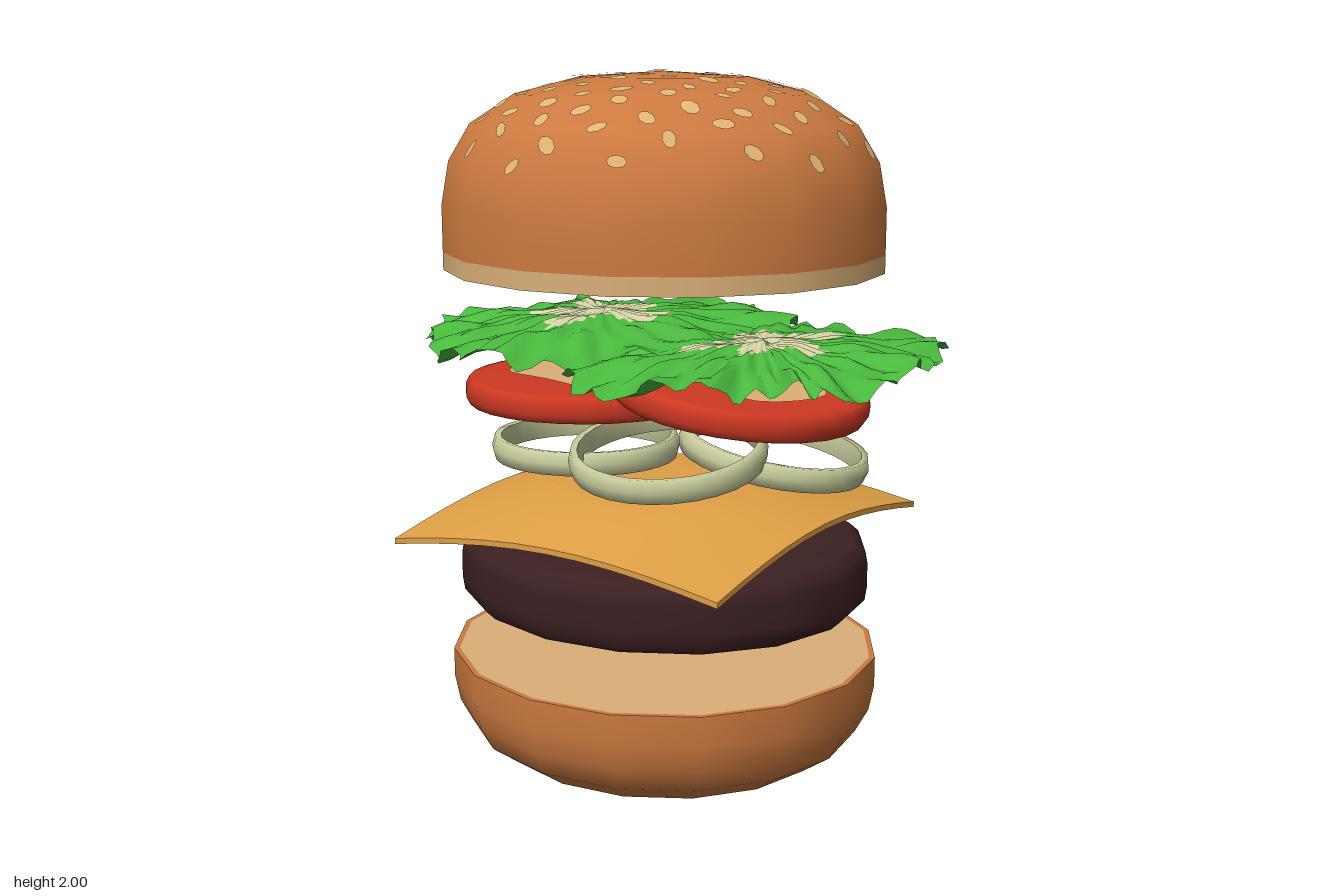
import * as THREE from 'three';
import { mergeGeometries } from 'three/addons/utils/BufferGeometryUtils.js';

const mat = (name, color, side = THREE.FrontSide) => {
  const m = new THREE.MeshStandardMaterial({ color, side });
  m.name = name;
  return m;
};

export function createModel() {
  const crust = mat('crust', 0xcc7a40);
  const crumb = mat('crumb', 0xdab078);
  const seedColor = mat('seed', 0xdfb273);
  const meat = mat('patty', 0x3c2022);
  const cheddar = mat('cheese', 0xdf9f45);
  const onion = mat('onion', 0xcbcf9e);
  const tomatoRed = mat('tomato', 0xcc3822);
  const leafGreen = mat('leafGreen', 0x4aba3e, THREE.DoubleSide);
  const leafPale = mat('leafPale', 0xd6d6a6, THREE.DoubleSide);

  const model = new THREE.Group();
  model.name = 'explodedBurger';
  let seed = 7;
  const rand = () => (seed = (seed * 16807) % 2147483647) / 2147483647;

  const add = (parent, name, geometry, material) => {
    const mesh = new THREE.Mesh(geometry, material);
    mesh.name = name;
    parent.add(mesh);
    return mesh;
  };
  const group = (name, x = 0, y = 0, z = 0) => {
    const g = new THREE.Group();
    g.name = name;
    g.position.set(x, y, z);
    model.add(g);
    return g;
  };
  // profile is [radius, height] pairs, outside surface running bottom to top
  const lathe = (profile, sides) =>
    new THREE.LatheGeometry(profile.map(([r, y]) => new THREE.Vector2(r, y)), sides);

  // Buns: 16 sided and slightly oval
  const SIDES = 16, OVAL = 0.963, CX = -0.037;
  const bottomBun = group('bottomBun', CX);
  bottomBun.scale.z = OVAL;
  add(bottomBun, 'bottomCrust', lathe([[0, 0.005], [0.2, 0.01], [0.37, 0.028], [0.49, 0.065],
    [0.575, 0.125], [0.613, 0.195], [0.628, 0.27], [0.628, 0.355]], SIDES), crust);
  add(bottomBun, 'bottomRim', lathe([[0.628, 0.355], [0.612, 0.355]], SIDES), crust);
  add(bottomBun, 'bottomCrumb', lathe([[0.612, 0.355], [0, 0.355]], SIDES), crumb);

  const dome = [[0.628, 1.51], [0.628, 1.64], [0.606, 1.76], [0.545, 1.86],
    [0.42, 1.94], [0.24, 1.985], [0, 2.0]];
  const topBun = group('topBun', CX);
  topBun.scale.z = OVAL;
  add(topBun, 'topCrust', lathe(dome, SIDES), crust);
  add(topBun, 'topCrumbEdge', lathe([[0.628, 1.46], [0.628, 1.51]], SIDES), crumb);
  add(topBun, 'topCrumb', lathe([[0, 1.46], [0.628, 1.46]], SIDES), crumb);

  // Sesame seeds: thin ovals lying on the dome's facets
  const onDome = (a, r) => {
    let i = 1;
    while (i < dome.length - 2 && dome[i + 1][0] > r) i++;
    const [r0, y0] = dome[i], [r1, y1] = dome[i + 1];
    const step = (Math.PI * 2) / SIDES;
    const local = (((a % step) + step) % step) - step / 2;
    const k = r * Math.cos(step / 2) / Math.cos(local);
    return new THREE.Vector3(k * Math.sin(a), y0 + ((y1 - y0) * (r0 - r)) / (r0 - r1), k * Math.cos(a));
  };
  const seeds = [];
  const COUNT = 125;
  for (let i = 0; i < COUNT; i++) {
    const r = 0.605 * Math.sqrt((i + 0.3 + rand() * 0.6) / COUNT);
    const a = i * 2.39996 + (rand() - 0.5) * 0.1;
    const p = onDome(a, r);
    const u = onDome(a + 0.01, r).sub(p), v = onDome(a, r - 0.004).sub(p);
    const n = u.cross(v).normalize();
    if (n.y < 0) n.negate();
    const size = 0.019 + rand() * 0.007;
    const g = new THREE.CircleGeometry(size, 8);
    g.scale(1.3, 0.9, 1);
    g.rotateZ(rand() * Math.PI);
    g.applyQuaternion(new THREE.Quaternion().setFromUnitVectors(new THREE.Vector3(0, 0, 1), n));
    p.addScaledVector(n, 0.004);
    g.translate(p.x, p.y, p.z);
    seeds.push(g);
  }
  add(topBun, 'sesameSeeds', mergeGeometries(seeds), seedColor);

  // Patty with softened rims
  const patty = group('patty', CX, 0, 0.005);
  patty.scale.z = 0.915;
  add(patty, 'pattyBody', lathe([[0, 0.495], [0.5, 0.497], [0.575, 0.505], [0.602, 0.53], [0.608, 0.57],
    [0.608, 0.64], [0.602, 0.672], [0.575, 0.695], [0.5, 0.7], [0, 0.7]], SIDES), meat);

  // Cheese slice drooping toward its corners
  const slice = new THREE.BoxGeometry(1.055, 0.016, 1.145, 10, 1, 10);
  const sp = slice.attributes.position;
  for (let i = 0; i < sp.count; i++) {
    const r = Math.hypot(sp.getX(i), sp.getZ(i));
    sp.setY(i, sp.getY(i) + 0.842 - 0.27 * Math.max(0, r - 0.3));
  }
  slice.computeVertexNormals();
  const cheese = group('cheese', CX, 0, 0);
  cheese.rotation.y = 0.071;
  add(cheese, 'cheeseSlice', slice, cheddar);

  // Onion rings: x, y, z, tilt about x, tilt about z
  const ringProfile = [[0.25, 0.032], [0.25, -0.032], [0.268, -0.034], [0.277, 0],
    [0.268, 0.034], [0.25, 0.032]];
  [[-0.295, 0.92, 0.04, 0, 0], [0.105, 0.972, 0.17, 0.17, -0.04], [0.232, 0.935, -0.165, -0.06, -0.17]]
    .forEach(([x, y, z, rx, rz], i) => {
      const g = group('onionRing' + (i + 1), x, y, z);
      g.rotation.set(rx, 0, rz);
      add(g, 'onionBand', lathe(ringProfile, 28), onion);
    });

  // Tomato slices with a pale core on both faces
  const core = new THREE.Shape(new THREE.CatmullRomCurve3(
    [[0.25, 0.04], [0.13, 0.15], [0.02, 0.24], [-0.13, 0.16], [-0.24, 0.06], [-0.2, -0.13], [-0.03, -0.16], [0.17, -0.18]]
      .map(([x, y]) => new THREE.Vector3(x, y, 0)), true).getPoints(32).slice(0, -1)
    .map((p) => new THREE.Vector2(p.x, p.y)));
  [[-0.287, 1.09, 0.03, 0], [0.218, 1.132, -0.012, -0.135]].forEach(([x, y, z, rz], i) => {
    const g = group('tomatoSlice' + (i + 1), x, y, z);
    g.rotation.z = rz;
    add(g, 'tomatoBody', lathe([[0, -0.041], [0.33, -0.041], [0.352, -0.036], [0.363, -0.015],
      [0.363, 0.015], [0.352, 0.036], [0.33, 0.041], [0, 0.041]], 28), tomatoRed);
    for (const s of [1, -1]) {
      const face = add(g, s > 0 ? 'coreTop' : 'coreBottom', new THREE.ShapeGeometry(core), crumb);
      face.rotation.x = (-s * Math.PI) / 2;
      face.position.y = s * 0.045;
    }
  });

  // Lettuce leaf: rings from a centre to an outline, ruffled toward the rim
  const leaf = (outline, cx, cz, height, droop, phase) => {
    const RINGS = 14, SEGS = 120;
    const rim = new THREE.CatmullRomCurve3(outline.map(([x, z]) => new THREE.Vector3(x, 0, z)), true)
      .getPoints(SEGS);
    const pos = [], green = [], pale = [];
    for (let j = 0; j <= RINGS; j++) {
      for (let i = 0; i < SEGS; i++) {
        const a = (i / SEGS) * Math.PI * 2 + phase, t = j / RINGS;
        const k = t * (1 + t * t * (0.022 * Math.sin(23 * a) + 0.015 * Math.sin(37 * a + 1)));
        const y = height - droop * t * t
          + t * t * (0.02 * Math.sin(7 * a + t * 4) + 0.016 * Math.sin(19 * a + t * 5))
          + 0.008 * t * Math.sin(31 * a - t * 9) + 0.005 * Math.sin(t * 16 + 3 * a);
        pos.push(cx + (rim[i].x - cx) * k, y, cz + (rim[i].z - cz) * k);
        if (j === RINGS) continue;
        const i2 = (i + 1) % SEGS;
        const p = j * SEGS + i, q = j * SEGS + i2;
        const list = t < 0.3 + 0.13 * Math.cos(5 * a) ? pale : green;
        list.push(p, q, q + SEGS, p, q + SEGS, p + SEGS);
      }
    }
    const g = new THREE.BufferGeometry();
    g.setAttribute('position', new THREE.Float32BufferAttribute(pos, 3));
    g.setIndex([...green, ...pale]);
    g.addGroup(0, green.length, 0);
    g.addGroup(green.length, pale.length, 1);
    g.computeVertexNormals();
    return g;
  };
  const lettuce = group('lettuce');
  // outlines run from +x toward -z so the upper side faces up
  add(lettuce, 'leafRight', leaf([[0.2, -0.05], [0.14, -0.42], [-0.1, -0.6], [-0.33, -0.55], [-0.5, -0.4],
    [-0.69, -0.35], [-0.75, 0.05], [-0.68, 0.28], [-0.55, 0.4], [-0.4, 0.53], [-0.15, 0.53], [0.1, 0.35]],
  -0.27, -0.02, 1.315, 0.062, 0), [leafGreen, leafPale]);
  add(lettuce, 'leafLeft', leaf([[0.74, 0], [0.66, -0.3], [0.57, -0.51], [0.38, -0.5], [0.12, -0.5],
    [-0.06, -0.25], [-0.08, 0.15], [0, 0.47], [0.2, 0.59], [0.4, 0.46], [0.53, 0.31], [0.69, 0.3]],
  0.3, 0, 1.285, 0.06, 1.3), [leafGreen, leafPale]);

  return model;
}
